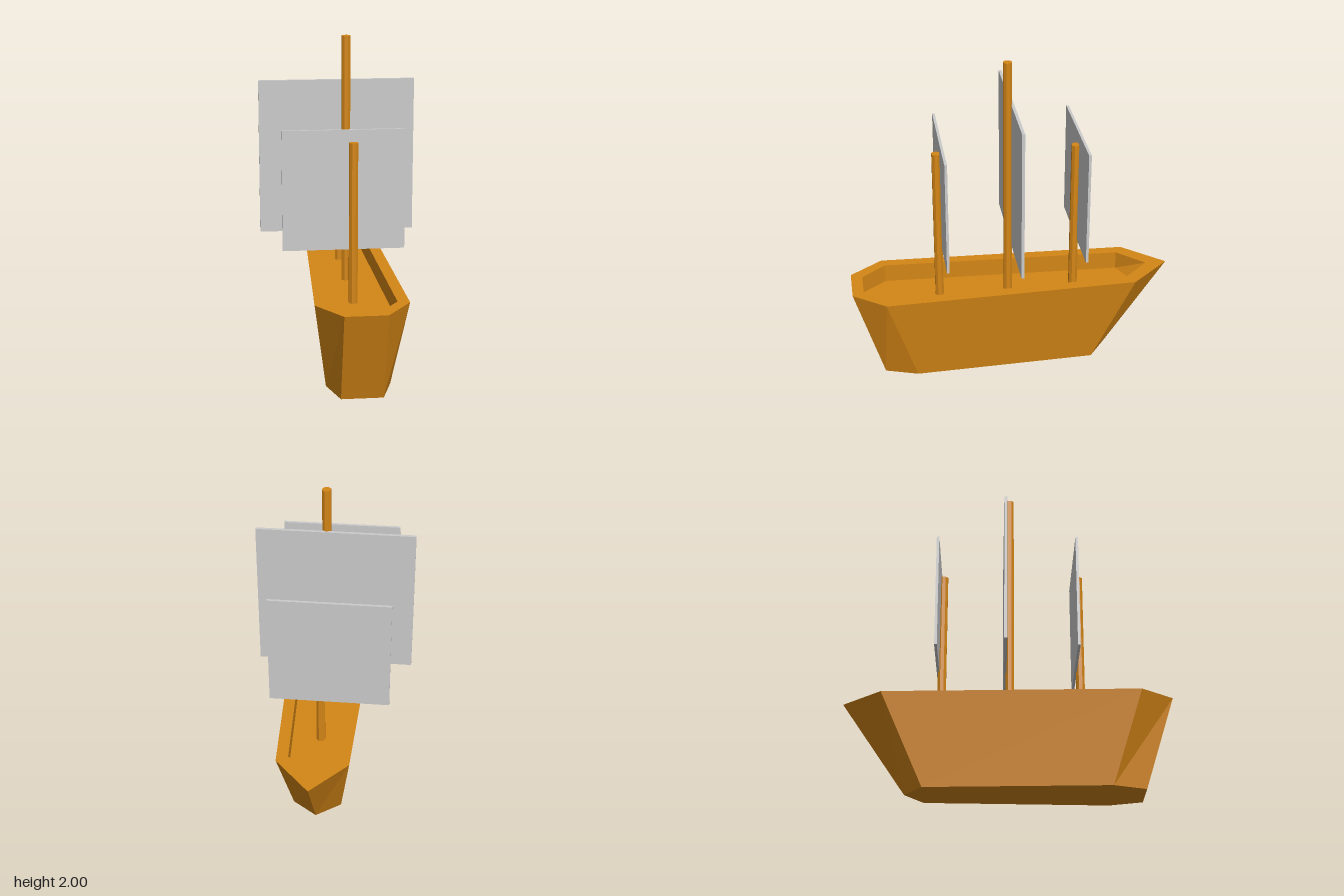
import * as THREE from 'three';

const wood = new THREE.MeshStandardMaterial({ color: 0xd48616, flatShading: true });
const cloth = new THREE.MeshStandardMaterial({ color: 0xcccccc, flatShading: true });

const RIM = 0.575, DECK = 0.46;

// Ring of seven corners, counter-clockwise from above, mirrored about a slightly offset keel line
const ring = (y, frontZ, frontX, wideZ, wideX, backZ, backX, bowZ) => [
  [frontX[0], y, frontZ], [frontX[1], y, frontZ],
  [wideX[1], y, wideZ], [backX[1], y, backZ],
  [0.07, y, bowZ],
  [backX[0], y, backZ], [wideX[0], y, wideZ],
];

// Skins consecutive rings and caps the first (facing down) and last (facing up)
function skin(rings) {
  const pos = [];
  const tri = (a, b, c) => pos.push(...a, ...b, ...c);
  for (let r = 0; r + 1 < rings.length; r++) {
    const lo = rings[r], hi = rings[r + 1], n = lo.length;
    for (let i = 0; i < n; i++) {
      const j = (i + 1) % n;
      tri(lo[i], lo[j], hi[j]);
      tri(lo[i], hi[j], hi[i]);
    }
  }
  const first = rings[0], last = rings[rings.length - 1];
  for (let i = 1; i + 1 < first.length; i++) {
    tri(first[0], first[i + 1], first[i]);
    tri(last[0], last[i], last[i + 1]);
  }
  const g = new THREE.BufferGeometry();
  g.setAttribute('position', new THREE.Float32BufferAttribute(pos, 3));
  g.computeVertexNormals();
  return g;
}

function add(group, name, geometry, material, x = 0, y = 0, z = 0) {
  const mesh = new THREE.Mesh(geometry, material);
  mesh.name = name;
  mesh.position.set(x, y, z);
  group.add(mesh);
}

export function createModel() {
  const ship = new THREE.Group();
  ship.name = 'sailingShip';

  // Hull: keel, outer rim, inner rim, sunken deck
  const innerFront = [-0.02, 0.16], innerWide = [-0.14, 0.275], innerBack = [-0.085, 0.22];
  add(ship, 'hull', skin([
    ring(0, 0.82, [-0.055, 0.195], 0.62, [-0.125, 0.26], -0.5, [-0.08, 0.22], -0.61),
    ring(RIM, 1, [-0.055, 0.195], 0.8, [-0.205, 0.345], -0.755, [-0.15, 0.29], -1),
    ring(RIM, 0.93, innerFront, 0.78, innerWide, -0.71, innerBack, -0.87),
    ring(DECK, 0.93, innerFront, 0.78, innerWide, -0.71, innerBack, -0.78),
  ]), wood);

  // Masts with their square sails
  const rigs = [
    { name: 'front', z: 0.452, top: 1.44, sailZ: 0.423, size: 0.725, low: 0.787, thick: 0.016 },
    { name: 'main', z: 0.018, top: 2, sailZ: -0.012, size: 0.95, low: 0.78, thick: 0.018 },
    { name: 'back', z: -0.4, top: 1.44, sailZ: -0.425, size: 0.725, low: 0.787, thick: 0.016 },
  ];
  for (const r of rigs) {
    const height = r.top - DECK + 0.02;
    const mast = new THREE.CylinderGeometry(0.028, 0.028, height, 8).rotateY(Math.PI / 8);
    add(ship, r.name + 'Mast', mast, wood, 0.055, r.top - height / 2, r.z);
    const sail = new THREE.BoxGeometry(r.size, r.size, r.thick);
    add(ship, r.name + 'Sail', sail, cloth, 0, r.low + r.size / 2, r.sailZ);
  }
  return ship;
}
